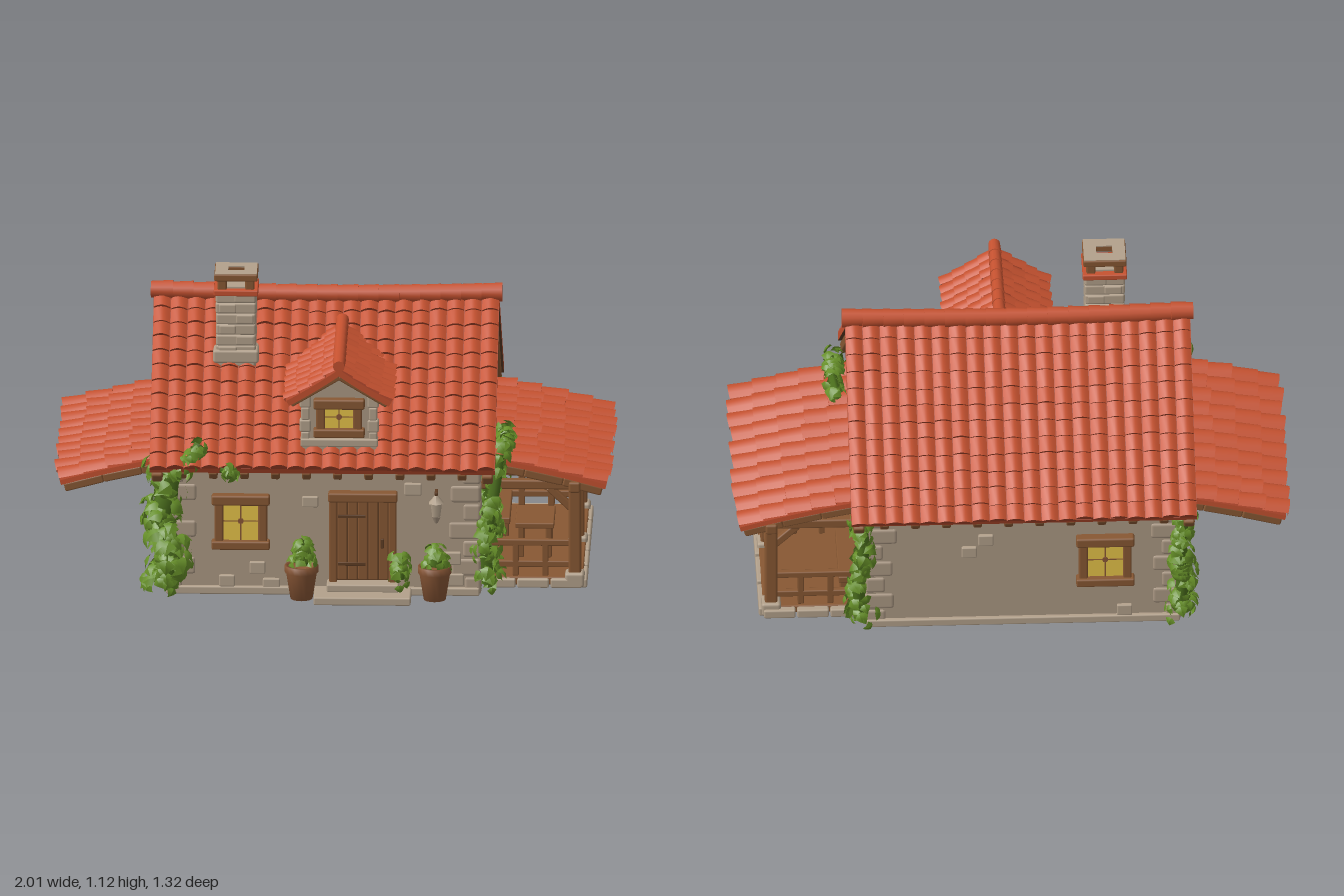
import * as THREE from 'three';
import { mergeGeometries } from 'three/addons/utils/BufferGeometryUtils.js';
import { RoundedBoxGeometry } from 'three/addons/geometries/RoundedBoxGeometry.js';

const mat = (name, color, side = THREE.FrontSide) => Object.assign(new THREE.MeshStandardMaterial({ color, side }), { name });
const M = {
  wall: mat('plaster', 0xac9984), stone: mat('stone', 0xb3a18b),
  tile: mat('roof tile', 0xc65230, THREE.DoubleSide), shade: mat('tile edge', 0xa9442a, THREE.DoubleSide),
  wood: mat('timber', 0x885833), dark: mat('dark timber', 0x5f3d24), glass: mat('lit glass', 0xf0cc4c),
  leaf: mat('leaf', 0x668f28, THREE.DoubleSide), leafDark: mat('deep foliage', 0x4c701d), pot: mat('terracotta', 0x8a5736),
};
let seed = 7;
const rnd = () => (seed = (seed * 16807) % 2147483647) / 2147483647;
const jit = a => (rnd() - 0.5) * 2 * a;
const V = (x, y, z) => new THREE.Vector3(x, y, z);

function mesh(parent, name, geo, m) {
  const o = new THREE.Mesh(geo, m);
  o.name = name;
  parent.add(o);
  return o;
}
function group(parent, name, x = 0, y = 0, z = 0, ry = 0) {
  const g = new THREE.Group();
  g.name = name; g.position.set(x, y, z); g.rotation.y = ry;
  parent.add(g);
  return g;
}
// softly rounded block
function block(parent, name, m, w, h, d, x, y, z) {
  mesh(parent, name, new RoundedBoxGeometry(w, h, d, 1, Math.min(w, h, d) * 0.2), m).position.set(x, y, z);
}
// timber between two points
function beam(parent, name, a, b, w, h, m = M.wood) {
  const o = new THREE.Mesh(new RoundedBoxGeometry(w, h, a.distanceTo(b), 1, Math.min(w, h) * 0.2), m);
  o.name = name;
  o.position.copy(a).lerp(b, 0.5);
  o.lookAt(b);
  parent.add(o);
}
function strips(list) {
  const pos = [], idx = [];
  for (const [A, B] of list) {
    const s = pos.length / 3, n = A.length;
    [...A, ...B].forEach(p => pos.push(...p));
    for (let k = 0; k < n - 1; k++) idx.push(s + k, s + n + k, s + n + k + 1, s + k, s + n + k + 1, s + k + 1);
  }
  const g = new THREE.BufferGeometry();
  g.setAttribute('position', new THREE.Float32BufferAttribute(pos, 3));
  g.setIndex(idx);
  g.computeVertexNormals();
  return g;
}
// tiled slope: width along x, running down along +z by profile f(t) = [z, y]
function roofSlope(parent, name, w, f, rows, cols, bump, thick, sag = 0) {
  const g = group(parent, name);
  const at = (u, t, h) => {
    const [z, y] = f(t), [z2, y2] = f(t + 0.01), l = Math.hypot(z2 - z, y2 - y);
    return [(u - 0.5) * w, y + h * (z2 - z) / l - sag * (1 - (2 * u - 1) ** 2) * (1 - t), z - h * (y2 - y) / l];
  };
  const tops = [], lips = [], K = 5;
  for (let r = 0; r < rows; r++) for (let c = 0; c < cols; c++) {
    const end = (r + 1.06 + jit(0.08)) / rows, lift = 0.01 + jit(0.003), A = [], B = [], C = [];
    for (let k = 0; k <= K; k++) {
      const u = (c + 0.02 + 0.96 * k / K) / cols, h = bump * Math.sin(Math.PI * k / K);
      A.push(at(u, r / rows, 0.003 + h * 0.85));
      B.push(at(u, end, lift + h));
      C.push(at(u, end, 0));
    }
    tops.push([A, B]); lips.push([B, C]);
  }
  mesh(g, 'tiles', strips(tops), M.tile);
  mesh(g, 'tileEdges', strips(lips), M.shade);
  const deck = new THREE.BoxGeometry(1, 1, 1, 10, 1, 6), p = deck.attributes.position;
  for (let i = 0; i < p.count; i++) p.setXYZ(i, ...at(p.getX(i) + 0.5, p.getZ(i) + 0.5, (p.getY(i) - 0.5) * thick));
  deck.computeVertexNormals();
  // red edges and bed, dark boards underneath
  mesh(g, 'roofBed', deck, [M.tile, M.tile, M.shade, M.dark, M.tile, M.tile]);
  return g;
}
// row of overlapping ridge tiles along x
function ridge(parent, name, len, r, n, sag = 0) {
  const g = group(parent, name), l = len / n;
  for (let i = 0; i < n; i++) {
    const x = -len / 2 + (i + 0.5) * l;
    const o = mesh(g, 'ridgeTile', new THREE.CylinderGeometry(r * 0.88, r, l * 1.08, 12), M.tile);
    o.rotation.z = Math.PI / 2;
    o.position.set(x, -sag * (1 - (2 * x / len) ** 2), 0);
  }
  return g;
}
// framed window facing +z, with any number of casements
function windowUnit(parent, name, w, h, n, x, y, z, ry = 0) {
  const g = group(parent, name, x, y, z, ry), t = 0.032;
  for (const s of [-1, 1]) block(g, 'jamb', M.wood, t, h, 0.04, s * (w - t) / 2, 0, 0.01);
  block(g, 'lintel', M.wood, w + 0.02, t + 0.006, 0.05, 0, h / 2 - t / 2, 0.012);
  block(g, 'sill', M.wood, w + 0.02, t, 0.055, 0, -h / 2 + t / 2, 0.014);
  mesh(g, 'glass', new THREE.BoxGeometry(w - t, h - t, 0.008), M.glass).position.z = 0.012;
  for (let i = 0; i < n; i++) {
    const cx = ((i + 0.5) / n - 0.5) * (w - t);
    if (i) block(g, 'mullion', M.wood, 0.045, h - t, 0.03, cx - (w - t) / n / 2, 0, 0.01);
    mesh(g, 'uprightBar', new THREE.BoxGeometry(0.004, h - t, 0.004), M.wood).position.set(cx, 0, 0.017);
    mesh(g, 'crossBar', new THREE.BoxGeometry((w - t) / n, 0.003, 0.004), M.wood).position.set(cx, 0.004, 0.017);
    const o = mesh(g, 'paneOrnament', new THREE.CylinderGeometry(0.011, 0.011, 0.005, 8), M.pot);
    o.rotation.x = Math.PI / 2; o.position.set(cx, 0.004, 0.018);
  }
}
// lobed leaf, slightly folded, and a scatter of leaves along a path
const leafRib = [[0, 0.5, 0], [0, 0, 0.2], [0, -0.25, 0.15], [0, -0.4, 0.05]];
const leafSide = s => [[0, 0.5, 0], [s * 0.28, 0.12, 0.1], [s * 0.5, -0.15, 0], [s * 0.15, -0.4, 0]];
const leafGeo = strips([[leafSide(-1), leafRib], [leafRib, leafSide(1)]]);
function foliage(parent, name, pts, r, n, size = 0.045, foot = 0.5) {
  const g = group(parent, name), curve = new THREE.CatmullRomCurve3(pts.map(p => V(...p))), leaves = [], d = new THREE.Object3D();
  mesh(g, 'stems', new THREE.TubeGeometry(curve, 12, r * 0.5, 7), M.leafDark);
  for (let i = 0; i < n; i++) {
    const t = rnd() ** 1.15, out = V(jit(1), jit(0.7), jit(1)).normalize();
    const rad = r * (0.45 + 0.5 * rnd()) * (1 + foot * (1 - t) ** 3);
    d.position.copy(curve.getPoint(t)).addScaledVector(out, rad);
    d.position.y = Math.max(d.position.y, 0.025);
    d.lookAt(d.position.clone().add(out).add(V(0, 0.3, 0)));
    d.rotateZ(jit(1.3) + Math.PI);
    d.scale.setScalar(size * (0.75 + 0.6 * rnd()));
    d.updateMatrix();
    leaves.push(leafGeo.clone().applyMatrix4(d.matrix));
  }
  mesh(g, 'leaves', mergeGeometries(leaves), M.leaf);
}
function gableBody(parent, name, half, base, eave, apex, len) {
  const s = new THREE.Shape([[-half, base], [half, base], [half, eave], [0, apex], [-half, eave]].map(p => new THREE.Vector2(...p)));
  return mesh(parent, name, new THREE.ExtrudeGeometry(s, { depth: len, bevelEnabled: false }), M.wall);
}

export function createModel() {
  const root = new THREE.Group();
  root.name = 'cottage';
  const XL = -0.6, XR = 0.53, XC = -0.035, ZC = -0.01, ZF = 0.52, ZB = -0.54, H = Math.PI / 2;

  // walls, corner stones and loose stones
  const walls = group(root, 'walls');
  const body = gableBody(walls, 'houseBody', 0.53, 0, 0.53, 0.92, XR - XL);
  body.rotation.y = H; body.position.set(XL, 0, ZC);
  for (const x of [XL, XR]) for (const z of [ZB, ZF]) for (let i = 0; i < 7; i++) {
    const a = 0.07 + 0.04 * (i % 2) + jit(0.01), b = 0.11 - 0.04 * (i % 2) + jit(0.01);
    block(walls, 'cornerStone', M.wall, a, 0.068, b, x - Math.sign(x) * (a / 2 - 0.006), 0.036 + i * 0.069, z - Math.sign(z) * (b / 2 - 0.006));
  }
  for (const [x, y] of [[-0.08, 0.35], [-0.38, 0.05], [-0.27, 0.1], [-0.22, 0.04], [0.44, 0.06], [0.43, 0.14], [0.29, 0.4]])
    block(walls, 'frontStone', M.stone, 0.06 + jit(0.01), 0.045 + jit(0.01), 0.026, x, y, ZF);
  for (const [x, y] of [[0.1, 0.36], [0.16, 0.31], [-0.4, 0.05]])
    block(walls, 'backStone', M.stone, 0.055, 0.045, 0.026, x, y, ZB);
  for (const x of [XL, XR]) for (const [z, y] of [[-0.31, 0.3], [-0.37, 0.2], [0.33, 0.56], [-0.13, 0.8], [0.3, 0.36]])
    block(walls, 'gableStone', M.stone, 0.025, 0.045, 0.055, x, y, z);
  block(walls, 'frontPlinth', M.stone, XR - XL, 0.03, 0.03, XC, 0.015, ZF);
  block(walls, 'backPlinth', M.stone, XR - XL, 0.03, 0.03, XC, 0.015, ZB);

  // main roof
  const roof = group(root, 'mainRoof', XC, 0, ZC);
  for (const ry of [0, Math.PI])
    roofSlope(roof, 'roofSlope', 1.245, t => [0.63 * t, 0.965 - 0.463 * t], 12, 20, 0.014, 0.026, 0.014).rotation.y = ry;
  ridge(roof, 'roofRidge', 1.26, 0.035, 17, 0.012).position.y = 0.98;
  const under = s => 0.965 - 0.735 * s - 0.062;
  for (const s of [-1, 1]) {
    for (const x of [XL - 0.03, XR + 0.03]) {
      beam(root, 'bargeboard', V(x, under(0), ZC), V(x, under(0.61), ZC + s * 0.61), 0.04, 0.042);
      const o = x + Math.sign(x) * -0.02;
      beam(root, 'gableBrace', V(o, 0.67, ZC + s * 0.29), V(o, 0.52, ZC + s * 0.2), 0.04, 0.035);
      block(root, 'purlinEnd', M.wood, 0.07, 0.045, 0.045, o, 0.735, ZC + s * 0.2);
    }
    for (let i = 0; i < 10; i++) {
      const x = XL + 0.06 + i * 0.112;
      beam(root, 'rafterTail', V(x, under(0.48), ZC + s * 0.48), V(x, under(0.6), ZC + s * 0.6), 0.032, 0.035);
    }
  }
  for (const x of [XL - 0.01, XR + 0.01]) {
    block(root, 'kingPost', M.wood, 0.06, 0.08, 0.035, x, 0.87, ZC);
    block(root, 'gableLedger', M.wood, 0.04, 0.035, 0.98, x, 0.515, ZC);
    windowUnit(root, 'gableWindow', 0.17, 0.18, 1, x - Math.sign(x) * 0.01, 0.645, -0.03, Math.sign(x) * H);
  }
  windowUnit(root, 'frontWindow', 0.19, 0.2, 1, -0.33, 0.275, ZF);
  windowUnit(root, 'backWindow', 0.19, 0.2, 1, -0.33, 0.27, ZB, Math.PI);
  windowUnit(root, 'porchWindow', 0.35, 0.19, 2, XR, 0.262, -0.025, H);

  // door and step
  const door = group(root, 'door', 0.11, 0, ZF);
  mesh(door, 'doorBack', new THREE.BoxGeometry(0.2, 0.32, 0.01), M.dark).position.set(0, 0.21, 0.005);
  for (let i = 0; i < 5; i++) block(door, 'doorPlank', M.wood, 0.034, 0.3, 0.02, (i - 2) * 0.037, 0.21, 0.008);
  for (const s of [-1, 1]) block(door, 'doorJamb', M.wood, 0.028, 0.33, 0.045, s * 0.107, 0.21, 0.012);
  block(door, 'doorLintel', M.wood, 0.25, 0.035, 0.055, 0, 0.375, 0.015);
  for (const y of [0.12, 0.3]) block(door, 'doorStrap', M.dark, 0.1, 0.012, 0.008, -0.04, y, 0.019);
  block(door, 'doorHandle', M.dark, 0.012, 0.035, 0.02, 0.07, 0.2, 0.02);
  block(door, 'lowerStep', M.stone, 0.35, 0.03, 0.15, 0, 0.015, 0.065);
  block(door, 'upperStep', M.stone, 0.26, 0.03, 0.08, 0, 0.042, 0.03);

  // dormer, its roof tipping slightly forward
  const dormer = group(root, 'dormer', 0.025, 0, 0);
  gableBody(dormer, 'dormerBody', 0.135, 0.53, 0.755, 0.845, 0.455).position.z = 0.1;
  const dRoof = group(dormer, 'dormerRoof', 0, 0.895, 0.355);
  dRoof.rotation.x = 0.045;
  for (const s of [-1, 1]) {
    roofSlope(dRoof, 'dormerSlope', 0.48, t => [0.19 * t, -0.013 - 0.122 * t + 0.015 * t * (t - 1)], 4, 8, 0.012, 0.022).rotation.y = s * H;
    beam(dRoof, 'dormerBargeboard', V(0, -0.045, 0.215), V(s * 0.175, -0.152, 0.215), 0.03, 0.026);
    for (let i = 0; i < 4; i++) block(dormer, 'dormerStone', M.stone, 0.03 + 0.012 * (i % 2), 0.048, 0.04, s * 0.122, 0.6 + i * 0.046, 0.542);
  }
  ridge(dRoof, 'dormerRidge', 0.49, 0.024, 7).rotation.y = H;
  block(dormer, 'dormerSill', M.stone, 0.28, 0.03, 0.05, 0, 0.585, 0.545);
  windowUnit(dormer, 'dormerWindow', 0.165, 0.14, 1, 0, 0.68, 0.55);

  // chimney
  const ch = group(root, 'chimney', -0.355, 0, 0.185);
  for (let i = 0; i < 8; i++) {
    const y = 0.75 + i * 0.04;
    block(ch, 'chimneyCourse', M.stone, 0.144 + jit(0.003), 0.042, 0.137 + jit(0.003), 0, y, 0);
    block(ch, 'chimneyStone', M.stone, 0.07 + jit(0.01), 0.036, 0.143, i % 2 ? 0.032 : -0.03, y, 0);
  }
  block(ch, 'chimneyFoot', M.stone, 0.165, 0.05, 0.155, 0, 0.81, 0);
  block(ch, 'chimneyTiles', M.tile, 0.16, 0.022, 0.155, 0, 1.05, 0);
  block(ch, 'flueStone', M.stone, 0.1, 0.012, 0.1, 0, 1.063, 0);
  for (const s of [-1, 1]) {
    for (const q of [-1, 1]) block(ch, 'chimneyPost', M.wood, 0.034, 0.045, 0.034, s * 0.05, 1.08, q * 0.048);
    block(ch, 'capSide', M.wood, 0.05, 0.026, 0.148, s * 0.053, 1.107, 0);
    block(ch, 'capEnd', M.wood, 0.156, 0.026, 0.05, 0, 1.107, s * 0.05);
    mesh(ch, 'capTop', new THREE.BoxGeometry(0.046, 0.004, 0.14), M.stone).position.set(s * 0.052, 1.12, 0);
    mesh(ch, 'capTop', new THREE.BoxGeometry(0.06, 0.004, 0.046), M.stone).position.set(0, 1.12, s * 0.047);
  }

  // side roofs, each with rafters
  const slope = t => [0.55 + 0.435 * t, 0.495 - 0.075 * t - 0.025 * t * t];
  for (const s of [-1, 1]) {
    const g = roofSlope(root, s > 0 ? 'porchRoof' : 'awning', 0.92, slope, 5, 10, 0.028, 0.018);
    g.rotation.y = s * H; g.position.z = -0.022;
    for (let i = 0; i < 7; i++) {
      const x = -0.44 + i * 0.1467;
      for (let k = 0; k < 3; k++) {
        const [z1, y1] = slope(k * 0.32), [z2, y2] = slope((k + 1) * 0.32);
        beam(g, 'rafter', V(x, y1 - 0.034, z1), V(x, y2 - 0.034, z2), 0.032, 0.032);
      }
    }
  }

  // porch frame, deck and railings
  const porch = group(root, 'porch');
  block(porch, 'deck', M.wood, 0.38, 0.03, 0.88, 0.71, 0.024, -0.02);
  for (let i = 0; i < 5; i++) block(porch, 'deckEdgeStone', M.stone, 0.06, 0.034, 0.165, 0.885, 0.018, 0.345 - i * 0.182);
  for (const z of [0.41, -0.46]) for (let i = 0; i < 3; i++) block(porch, 'deckEndStone', M.stone, 0.115, 0.034, 0.05, 0.6 + i * 0.12, 0.018, z);
  beam(porch, 'outerBeam', V(0.87, 0.385, 0.45), V(0.87, 0.385, -0.49), 0.042, 0.04);
  for (const z of [0.4, -0.04, -0.44]) {
    block(porch, 'postFoot', M.stone, 0.07, 0.055, 0.07, 0.87, 0.03, z);
    block(porch, 'post', M.wood, 0.046, 0.34, 0.046, 0.87, 0.215, z);
    beam(porch, 'crossBeam', V(0.53, 0.385, z), V(0.9, 0.385, z), 0.035, 0.035);
    beam(porch, 'inwardBrace', V(0.865, 0.29, z), V(0.775, 0.375, z), 0.028, 0.028);
    for (const s of [-1, 1]) if (Math.abs(z + s * 0.1) < 0.45) beam(porch, 'beamBrace', V(0.87, 0.28, z), V(0.87, 0.375, z + s * 0.1), 0.03, 0.03);
  }
  const railing = (a, b, n) => {
    for (const y of [0.165, 0.085]) beam(porch, 'rail', V(a[0], y, a[1]), V(b[0], y, b[1]), 0.024, 0.024);
    for (let i = 0; i <= n; i++) block(porch, 'baluster', M.wood, 0.024, 0.13, 0.024, a[0] + (b[0] - a[0]) * i / n, 0.105, a[1] + (b[1] - a[1]) * i / n);
  };
  railing([0.87, -0.04], [0.87, -0.44], 4);
  railing([0.55, 0.4], [0.87, 0.4], 3);
  railing([0.55, -0.44], [0.87, -0.44], 3);
  block(porch, 'tableTop', M.wood, 0.14, 0.02, 0.22, 0.72, 0.165, 0.1);
  for (const x of [0.67, 0.77]) for (const z of [0.02, 0.18]) block(porch, 'tableLeg', M.wood, 0.022, 0.12, 0.022, x, 0.1, z);
  block(porch, 'bench', M.wood, 0.07, 0.025, 0.34, 0.59, 0.1, -0.22);
  for (const z of [-0.36, -0.08]) block(porch, 'benchLeg', M.wood, 0.06, 0.06, 0.03, 0.59, 0.065, z);

  // potted plants
  const potProfile = [[0, 0], [0.04, 0], [0.055, 0.095], [0.061, 0.1], [0.061, 0.125], [0.05, 0.125], [0.047, 0.11], [0, 0.11]].map(p => new THREE.Vector2(...p));
  for (const [x, h] of [[-0.11, 0.21], [0.37, 0.18]]) {
    mesh(root, 'flowerPot', new THREE.LatheGeometry(potProfile, 16), M.pot).position.set(x, 0.005, 0.585);
    foliage(root, 'pottedPlant', [[x, 0.13, 0.585], [x + 0.005, (h + 0.13) / 2, 0.585], [x, h, 0.585]], 0.045, 50, 0.045, 0.4);
  }

  // wall lantern
  const lamp = group(root, 'lantern', 0.375, 0, 0.56);
  beam(lamp, 'lanternArm', V(0, 0.395, -0.04), V(0, 0.395, 0.01), 0.012, 0.012, M.dark);
  mesh(lamp, 'lanternCap', new THREE.ConeGeometry(0.03, 0.035, 6), M.stone).position.y = 0.377;
  mesh(lamp, 'lanternBody', new THREE.CylinderGeometry(0.024, 0.016, 0.055, 6), M.stone).position.y = 0.335;
  mesh(lamp, 'lanternFoot', new THREE.CylinderGeometry(0.018, 0.006, 0.025, 6), M.wall).position.y = 0.297;

  // climbing ivy
  foliage(root, 'frontLeftIvy', [[-0.61, 0.04, 0.52], [-0.58, 0.16, 0.53], [-0.62, 0.28, 0.53], [-0.59, 0.4, 0.53], [-0.61, 0.49, 0.52]], 0.078, 240, 0.055, 0.3);
  foliage(root, 'eaveIvy', [[-0.56, 0.48, 0.57], [-0.52, 0.51, 0.6], [-0.48, 0.58, 0.575]], 0.036, 50);
  foliage(root, 'eaveSprig', [[-0.4, 0.5, 0.615], [-0.37, 0.49, 0.62], [-0.36, 0.47, 0.61]], 0.03, 20);
  foliage(root, 'frontRightIvy', [[0.56, 0.04, 0.5], [0.55, 0.2, 0.51], [0.575, 0.35, 0.5], [0.6, 0.52, 0.47]], 0.045, 120);
  foliage(root, 'porchIvy', [[0.56, 0.05, 0.37], [0.57, 0.18, 0.33], [0.56, 0.28, 0.36], [0.56, 0.44, 0.4]], 0.045, 110);
  foliage(root, 'porchRoofIvy', [[0.61, 0.52, 0.41], [0.62, 0.525, 0.3], [0.61, 0.525, 0.18]], 0.034, 70);
  foliage(root, 'backRightIvy', [[0.55, 0.04, -0.53], [0.56, 0.2, -0.54], [0.54, 0.34, -0.55], [0.56, 0.48, -0.55]], 0.046, 140, 0.045, 0.8);
  foliage(root, 'backLeftIvy', [[-0.6, 0.04, -0.54], [-0.61, 0.2, -0.54], [-0.6, 0.34, -0.55], [-0.62, 0.48, -0.54]], 0.05, 150, 0.045, 0.6);
  foliage(root, 'doorBush', [[0.24, 0.07, 0.55], [0.245, 0.11, 0.55], [0.24, 0.15, 0.545]], 0.04, 40);
  return root;
}
